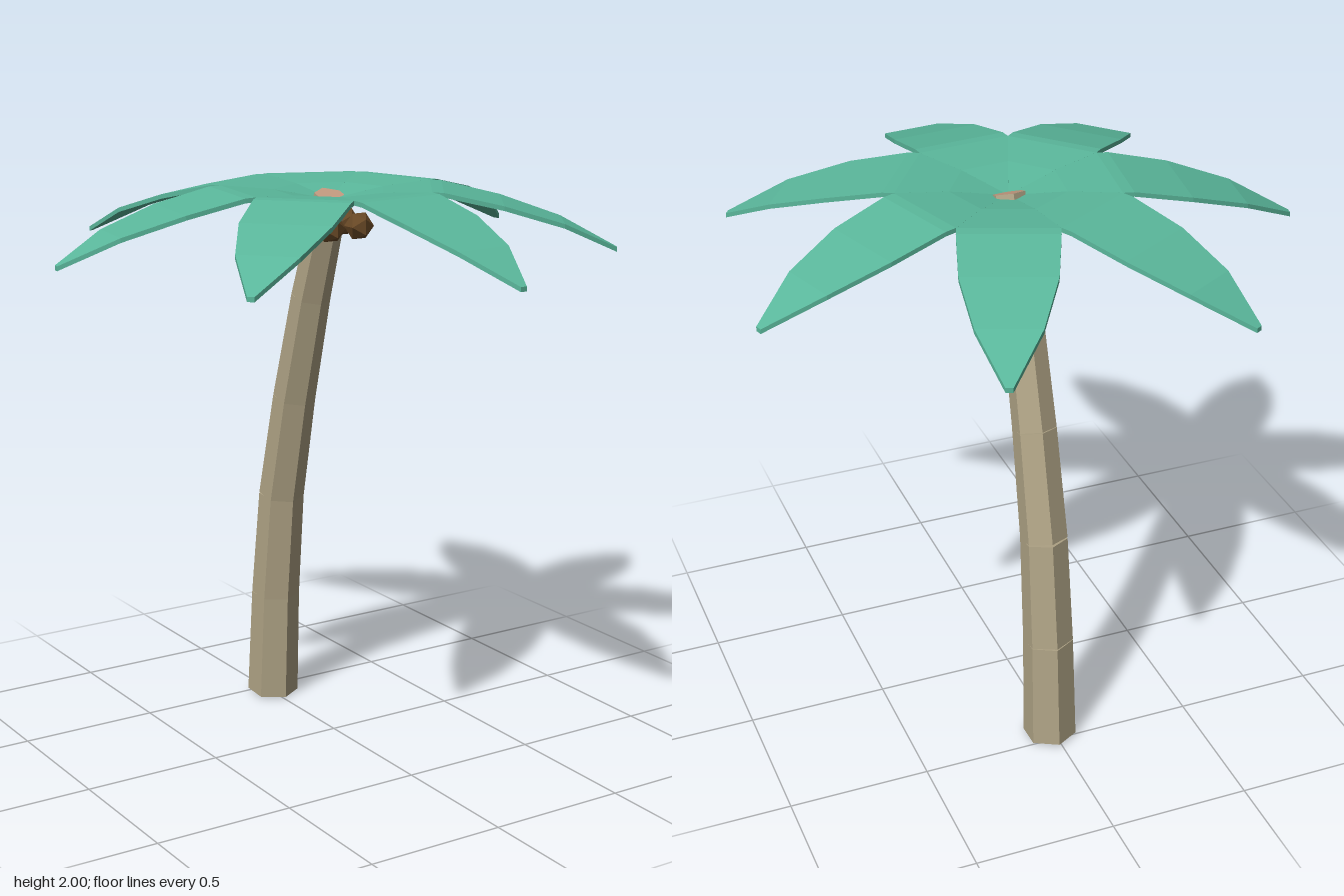
import * as THREE from 'three';

function material(name, color) {
  const m = new THREE.MeshStandardMaterial({ color });
  m.name = name;
  return m;
}

// Faceted normals for the low-poly look
function faceted(geometry) {
  const g = geometry.toNonIndexed();
  g.computeVertexNormals();
  return g;
}

// Leaf: a slab whose rows follow [distance from hub, half width, top height]
const LEAF_ROWS = [
  [0.005, 0.0024, 1.955], [0.18, 0.0866, 1.987], [0.345, 0.166, 2.0], [0.385, 0.166, 1.998],
  [0.59, 0.155, 1.952], [0.8, 0.105, 1.885], [0.99, 0.012, 1.791],
];
const LEAF_THICKNESS = 0.016;

function leafGeometry() {
  const n = LEAF_ROWS.length - 1;
  const g = new THREE.BoxGeometry(2, 1, 1, 1, 1, n);
  const p = g.attributes.position;
  for (let i = 0; i < p.count; i++) {
    const [r, half, top] = LEAF_ROWS[Math.round((p.getZ(i) + 0.5) * n)];
    const y = p.getY(i) > 0 ? top : top - LEAF_THICKNESS;
    p.setXYZ(i, p.getX(i) * half, y, r);
  }
  return faceted(g);
}

export function createModel() {
  const bark = material('bark', 0xb0a486);
  const cutWood = material('cut wood', 0xc49a80);
  const leafGreen = material('leaf green', 0x5ab79b);
  const shell = material('coconut brown', 0x694926);

  const model = new THREE.Group();
  model.name = 'palmTree';

  // Trunk: straight six-sided segments along a bent path of [y, z, radius]
  const path = [
    [0.01, -0.455, 0.095], [0.41, -0.43, 0.089], [0.81, -0.382, 0.083],
    [1.2, -0.288, 0.077], [1.59, -0.172, 0.07], [1.965, -0.037, 0.06],
  ];
  const trunk = new THREE.Group();
  trunk.name = 'trunk';
  for (let i = 0; i < path.length - 1; i++) {
    const [y0, z0, r0] = path[i];
    const [y1, z1, r1] = path[i + 1];
    const last = i === path.length - 2;
    const g = faceted(new THREE.CylinderGeometry(r1, r0, Math.hypot(y1 - y0, z1 - z0), 6));
    const segment = new THREE.Mesh(g, last ? [bark, cutWood, bark] : bark);
    segment.name = 'trunkSegment';
    segment.position.set(0.013, (y0 + y1) / 2, (z0 + z1) / 2);
    segment.rotation.x = Math.atan2(z1 - z0, y1 - y0);
    trunk.add(segment);
  }
  model.add(trunk);

  // Crown: seven drooping leaves around a sunken hub
  const crown = new THREE.Group();
  crown.name = 'crown';
  crown.position.set(0.008, 0, -0.033);
  const leafShape = leafGeometry();
  for (let i = 0; i < 7; i++) {
    const leaf = new THREE.Mesh(leafShape, leafGreen);
    leaf.name = 'leaf';
    leaf.rotation.y = THREE.MathUtils.degToRad(4.6) + (i * Math.PI * 2) / 7;
    crown.add(leaf);
  }
  model.add(crown);

  // Coconuts hanging below the crown
  const nut = new THREE.IcosahedronGeometry(0.052);
  for (const [x, z] of [[-0.045, 0.05], [0.085, -0.06], [0.07, 0.05]]) {
    const coconut = new THREE.Mesh(nut, shell);
    coconut.name = 'coconut';
    coconut.position.set(x, 1.866, z);
    model.add(coconut);
  }

  return model;
}
